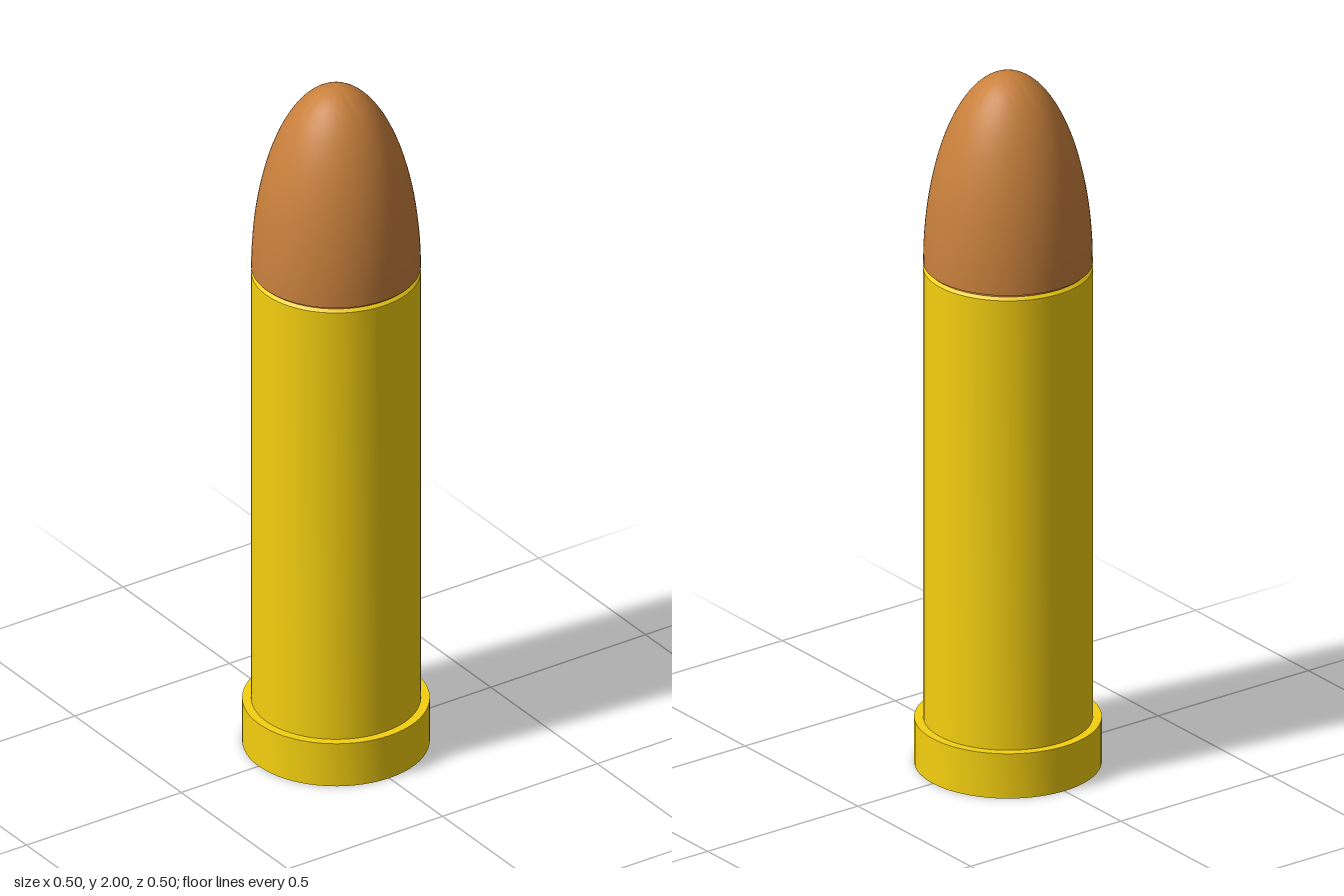
import * as THREE from 'three';
import { toCreasedNormals } from 'three/addons/utils/BufferGeometryUtils.js';

const SEGMENTS = 64;

// Turned part from [radius, height] pairs, listed upwards along the outside
function turned(name, profile, color) {
  const points = profile.map(([r, y]) => new THREE.Vector2(r, y));
  const geometry = toCreasedNormals(new THREE.LatheGeometry(points, SEGMENTS), 0.5);
  const mesh = new THREE.Mesh(geometry, new THREE.MeshStandardMaterial({ color }));
  mesh.name = name;
  return mesh;
}

export function createModel() {
  const group = new THREE.Group();
  group.name = 'cartridge';

  // Casing: recessed base, wide rim, straight wall and bevelled mouth
  group.add(turned('casing', [
    [0, 0.03], [0.21, 0.03], [0.21, 0], [0.25, 0], [0.25, 0.13],
    [0.226, 0.13], [0.226, 1.435], [0.218, 1.443], [0, 1.443],
  ], 0xf5d010));

  // Primer: disc standing in the base recess
  group.add(turned('primer', [[0, 0], [0.193, 0], [0.193, 0.035]], 0xcccccc));

  // Projectile: short neck in the mouth, then a half-ellipse nose
  const nose = [[0.218, 1.43], [0.218, 1.45]];
  const steps = 28;
  for (let i = 0; i <= steps; i++) {
    const a = (i / steps) * Math.PI / 2;
    nose.push([i === steps ? 0 : 0.226 * Math.cos(a), 1.45 + 0.55 * Math.sin(a)]);
  }
  group.add(turned('projectile', nose, 0xc8803c));

  return group;
}
